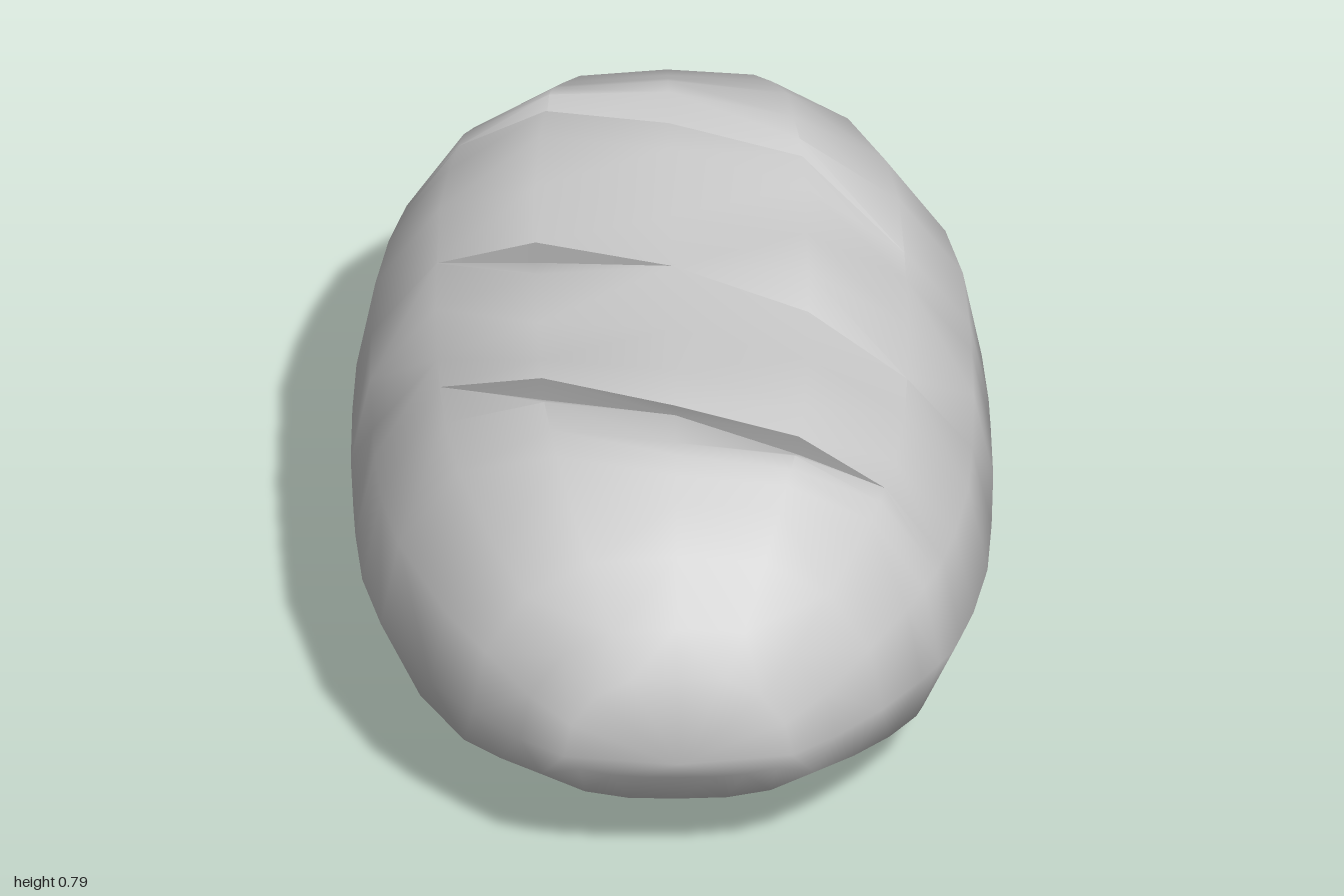
import * as THREE from 'three';
import { mergeVertices, toCreasedNormals } from 'three/addons/utils/BufferGeometryUtils.js';

// Linear interpolation through [position, value] pairs
function lerpTable(table, t) {
  for (let i = 1; i < table.length; i++) {
    const [a, va] = table[i - 1], [b, vb] = table[i];
    if (t <= b) return va + (vb - va) * (t - a) / (b - a);
  }
  return table[table.length - 1][1];
}

// Loaf outline by distance from the middle: half width, top and bottom
const WIDTH = [[0, 0.612], [0.3, 0.603], [0.44, 0.585], [0.62, 0.53], [0.78, 0.43], [0.96, 0.25], [0.975, 0.2], [1, 0]];
const TOP = [[0, 0.775], [0.2, 0.76], [0.37, 0.79], [0.48, 0.778], [0.63, 0.77], [0.83, 0.66], [0.97, 0.49], [1, 0.31]];
const BOTTOM = [[0, 0], [0.38, 0.005], [0.56, 0.03], [0.71, 0.08], [0.91, 0.17], [0.97, 0.26], [1, 0.31]];
const MID = 0.31;

// Cross-section: nine points over the top from -x to +x, then back underneath
const SECTION = [
  [-0.612, 0.31], [-0.575, 0.5], [-0.45, 0.67], [-0.26, 0.772], [0, 0.79],
  [0.26, 0.772], [0.45, 0.67], [0.575, 0.5], [0.612, 0.31],
  [0.53, 0.13], [0.36, 0.04], [0.19, 0.005], [0, 0],
  [-0.19, 0.005], [-0.36, 0.04], [-0.53, 0.13],
];

const flat = [0, 0, 0, 0, 0];
const row = (z, depth = flat) => ({ z, depth });
const ring = (z) => row([z, z, z, z, z]);
const mix = (a, b, t) => row(a.z.map((z, i) => z + (b.z[i] - z) * t));
// Half-turn copy of a row
const turn = (r) => row(r.z.map((z) => -z).reverse(), [...r.depth].reverse());

function loafRows() {
  // Outer slash: ramp edge, undercut valley and raised lip
  const ramp = row([0.22, 0.44, 0.59, 0.61, 0.58]);
  const valley = row([0.22, 0.36, 0.465, 0.54, 0.58], [0, 0.055, 0.03, 0.05, 0]);
  const lip = row([0.22, 0.37, 0.475, 0.55, 0.58]);
  // Middle slash: the ramp swaps sides at the centre
  const midFront = row([-0.2, 0, 0, 0.12, 0.2]);
  const midValley = row([-0.2, -0.125, 0, 0.125, 0.2], [0, 0.05, 0, 0.05, 0]);
  const shoulder = ring(0.72);
  const half = [
    ring(1), ring(0.97), ring(0.91), ring(0.82), shoulder,
    mix(shoulder, ramp, 0.4), mix(shoulder, ramp, 0.7),
    ramp, valley, lip,
    mix(lip, midFront, 0.22), mix(lip, midFront, 0.6), midFront,
  ];
  return [...half, midValley, ...half.map(turn).reverse()];
}

// Place one section point on the loaf, following the slanted row
function loafPoint(r, c) {
  const [px, py] = SECTION[c];
  const onTop = c >= 2 && c <= 6;
  const t = Math.min(Math.max((px + 0.45) / 0.9, 0), 1);
  const z = onTop ? r.z[c - 2] : r.z[0] + (r.z[4] - r.z[0]) * t;
  const d = Math.abs(z);
  const scale = py >= MID ? (lerpTable(TOP, d) - MID) / 0.48 : (MID - lerpTable(BOTTOM, d)) / MID;
  const y = MID + (py - MID) * scale - (onTop ? r.depth[c - 2] : 0);
  return new THREE.Vector3(px * lerpTable(WIDTH, d) / 0.612, y, z);
}

function loafGeometry() {
  const grid = loafRows().map((r) => SECTION.map((_, c) => loafPoint(r, c)));
  const positions = [];
  const addTriangle = (a, b, c) => {
    const area = b.clone().sub(a).cross(c.clone().sub(a)).length();
    if (area > 1e-6) for (const p of [a, b, c]) positions.push(p.x, p.y, p.z);
  };
  for (let r = 0; r < grid.length - 1; r++) {
    for (let c = 0; c < SECTION.length; c++) {
      const n = (c + 1) % SECTION.length;
      const a = grid[r][c], b = grid[r][n], e = grid[r + 1][n], f = grid[r + 1][c];
      // Split along the shorter diagonal
      if (a.distanceTo(e) < b.distanceTo(f)) {
        addTriangle(a, b, e);
        addTriangle(a, e, f);
      } else {
        addTriangle(a, b, f);
        addTriangle(b, e, f);
      }
    }
  }
  const geometry = new THREE.BufferGeometry();
  geometry.setAttribute('position', new THREE.Float32BufferAttribute(positions, 3));
  return toCreasedNormals(mergeVertices(geometry), 0.9);
}

export function createModel() {
  const crust = new THREE.MeshStandardMaterial({ color: 0xcccccc, side: THREE.DoubleSide });
  crust.name = 'crust grey';
  const loaf = new THREE.Mesh(loafGeometry(), crust);
  loaf.name = 'slashedLoaf';
  const group = new THREE.Group();
  group.name = 'breadLoaf';
  group.add(loaf);
  return group;
}
